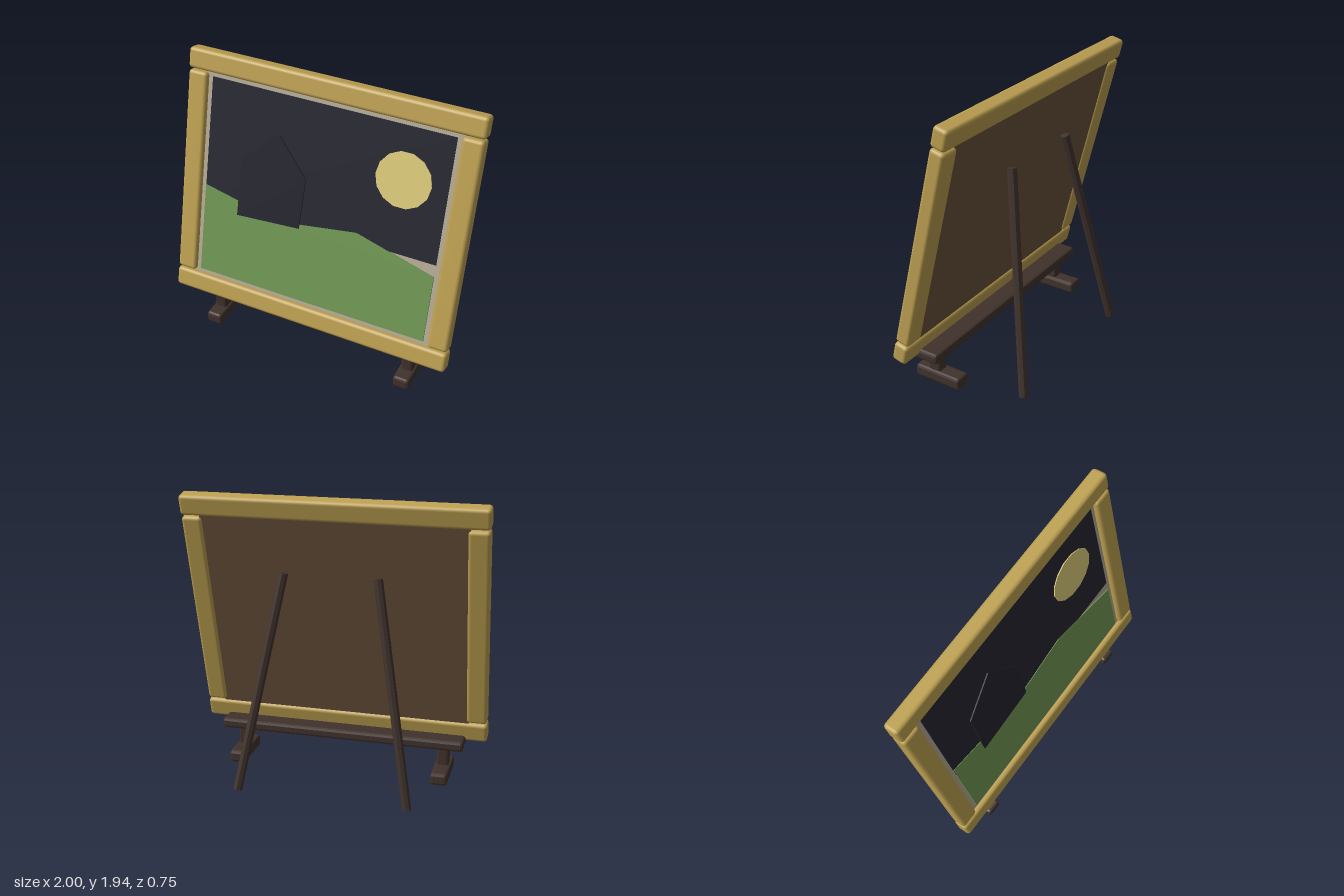
import * as THREE from 'three';
import { RoundedBoxGeometry } from 'three/addons/geometries/RoundedBoxGeometry.js';

const paint = (name, color) => Object.assign(new THREE.MeshStandardMaterial({ color }), { name });

export function createModel() {
  const gold = paint('gold frame', 0xbda051);
  const darkWood = paint('dark wood', 0x40322c);
  const backing = paint('brown backing', 0x6a533b);
  const canvasCream = paint('canvas cream', 0xb3a993);
  const night = paint('night blue', 0x242430);
  const houseBlue = paint('house blue', 0x23232e);
  const grass = paint('grass green', 0x6f9653);
  const moonYellow = paint('moon yellow', 0xdbca79);

  const model = new THREE.Group();
  model.name = 'paintingOnStand';

  const add = (parent, name, geometry, material, x = 0, y = 0, z = 0) => {
    const mesh = new THREE.Mesh(geometry, material);
    mesh.name = name;
    mesh.position.set(x, y, z);
    parent.add(mesh);
    return mesh;
  };

  // Box with flat chamfered edges
  const chamferBox = (w, h, d, r) => {
    const g = new RoundedBoxGeometry(w, h, d, 1, r);
    g.computeVertexNormals();
    return g;
  };

  // Thin plate cut from an outline
  const plate = (points, depth) => new THREE.ExtrudeGeometry(
    new THREE.Shape(points.map(([x, y]) => new THREE.Vector2(x, y))),
    { depth, bevelEnabled: false });

  // Picture, leaning back as one piece
  const picture = new THREE.Group();
  picture.name = 'framedPicture';
  picture.position.set(0, 1.1, 0.12);
  picture.rotation.x = -THREE.MathUtils.degToRad(14);
  model.add(picture);

  // Frame: two rails and two stiles
  for (const s of [-1, 1]) {
    add(picture, s > 0 ? 'topRail' : 'bottomRail',
      new RoundedBoxGeometry(2, 0.138, 0.105, 2, 0.024), gold, 0, s * 0.788, 0);
    add(picture, s > 0 ? 'leftStile' : 'rightStile',
      new RoundedBoxGeometry(0.138, 1.42, 0.105, 2, 0.024), gold, s * 0.928, 0, 0);
  }

  // Backing board and canvas
  add(picture, 'backingBoard', new THREE.BoxGeometry(1.75, 1.48, 0.045), backing, 0, 0, -0.0125);
  add(picture, 'canvas', new THREE.BoxGeometry(1.75, 1.48, 0.009), canvasCream, 0, 0, 0.0145);

  // Painted scene, layered from back to front
  add(picture, 'nightSky', plate([
    [-0.827, -0.146], [0.827, -0.146], [0.827, 0.689], [-0.827, 0.689]], 0.007), night, 0, 0, 0.019);
  add(picture, 'hills', plate([
    [-0.827, -0.688], [0.827, -0.688], [0.827, -0.229], [0.283, -0.086],
    [-0.26, -0.169], [-0.827, -0.056]], 0.009), grass, 0, 0, 0.021);
  const moonOutline = Array.from({ length: 14 }, (_, i) => {
    const a = (i / 14) * Math.PI * 2;
    return [Math.cos(a) * 0.184, Math.sin(a) * 0.184];
  });
  add(picture, 'moon', plate(moonOutline, 0.007), moonYellow, 0.54, 0.344, 0.025);
  add(picture, 'house', plate([
    [-0.57, -0.204], [-0.115, -0.171], [-0.1, 0.175],
    [-0.313, 0.425], [-0.567, 0.204]], 0.009), houseBlue, 0, 0, 0.031);

  // Stand: ledge, posts and feet
  const stand = new THREE.Group();
  stand.name = 'stand';
  model.add(stand);
  add(stand, 'ledge', chamferBox(1.71, 0.07, 0.195, 0.018), darkWood, 0, 0.262, 0.232);

  const up = new THREE.Vector3(0, 1, 0);
  for (const s of [-1, 1]) {
    const side = s > 0 ? 'left' : 'right';
    add(stand, side + 'Post', chamferBox(0.08, 0.19, 0.085, 0.014), darkWood, s * 0.714, 0.155, 0.235);
    add(stand, side + 'Foot', chamferBox(0.113, 0.084, 0.345, 0.018), darkWood, s * 0.714, 0.057, 0.205);

    // Splayed back leg
    const foot = new THREE.Vector3(s * 0.573, 0.006, -0.338);
    const head = new THREE.Vector3(s * 0.31, 1.445, -0.085);
    const along = head.clone().sub(foot);
    const leg = add(stand, side + 'BackLeg',
      new THREE.CylinderGeometry(0.031, 0.031, along.length(), 8).toNonIndexed(), darkWood);
    leg.geometry.computeVertexNormals();
    leg.position.copy(foot).add(head).multiplyScalar(0.5);
    leg.quaternion.setFromUnitVectors(up, along.normalize());
  }

  return model;
}
